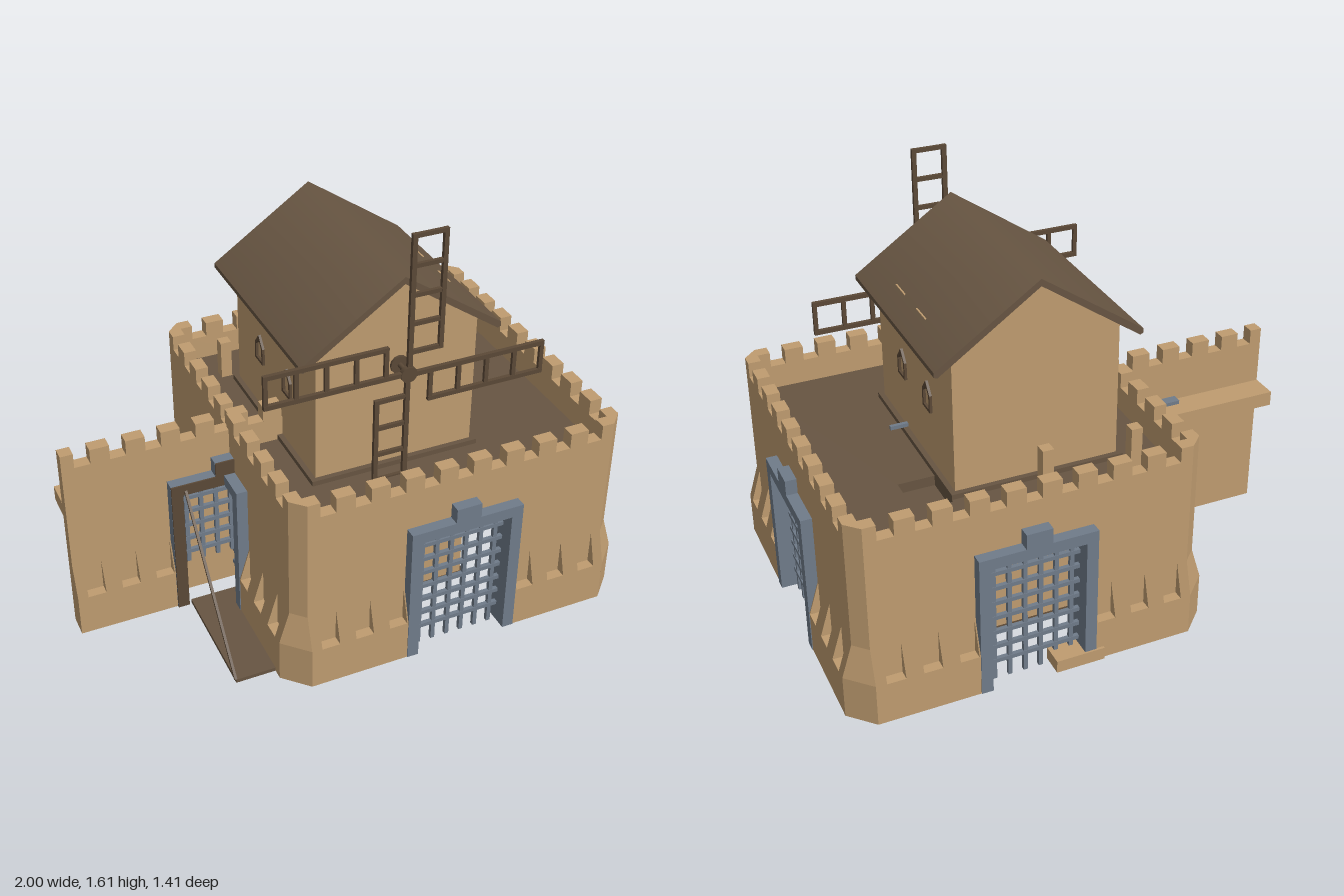
import * as THREE from 'three';
import { ConvexGeometry } from 'three/addons/geometries/ConvexGeometry.js';

const mat = (name, color) => {
  const m = new THREE.MeshStandardMaterial({ color });
  m.name = name;
  return m;
};

export function createModel() {
  const sand = mat('sandstone', 0xbf9c70);
  const brown = mat('roof brown', 0x675542);
  const dark = mat('dark timber', 0x5b4937);
  const steel = mat('blue grey', 0x707c8a);
  const root = new THREE.Group();
  root.name = 'windmillFort';

  const add = (parent, name, geo, m) => {
    const mesh = new THREE.Mesh(geo, m);
    mesh.name = name;
    parent.add(mesh);
    return mesh;
  };
  // Box given by its limits on each axis
  const box = (parent, name, m, x0, x1, y0, y1, z0, z1) => {
    const b = add(parent, name, new THREE.BoxGeometry(x1 - x0, y1 - y0, z1 - z0), m);
    b.position.set((x0 + x1) / 2, (y0 + y1) / 2, (z0 + z1) / 2);
    return b;
  };
  const poly = pts => new THREE.Shape(pts.map(p => new THREE.Vector2(...p)));
  const slab = (pts, z0, z1, hole) => {
    const s = poly(pts);
    if (hole) s.holes.push(poly(hole));
    return new THREE.ExtrudeGeometry(s, { depth: z1 - z0, bevelEnabled: false }).translate(0, 0, z0);
  };
  // Smooth shading: bend the normals of sloping faces where the test holds
  const softenSlopes = (geo, test, nx, ny) => {
    const p = geo.attributes.position, n = geo.attributes.normal;
    for (let i = 0; i < n.count; i++) {
      if (n.getY(i) > 0.05 && n.getY(i) < 0.95 && test(p.getX(i), p.getY(i))) n.setXYZ(i, nx, ny, 0);
    }
    return geo;
  };
  // Straight bar between two points
  const bar = (parent, name, m, a, b, t) => {
    const p = new THREE.Vector3(...a), q = new THREE.Vector3(...b);
    const mesh = add(parent, name, new THREE.BoxGeometry(t, p.distanceTo(q), t), m);
    mesh.position.copy(p).lerp(q, 0.5);
    mesh.quaternion.setFromUnitVectors(new THREE.Vector3(0, 1, 0), q.sub(p).normalize());
  };

  // Gate frame outline with raised keystone
  const framePts = [[-0.225, 0], [-0.18, 0], [-0.18, 0.53], [0.18, 0.53], [0.18, 0], [0.225, 0],
    [0.225, 0.575], [0.05, 0.575], [0.05, 0.635], [-0.05, 0.635], [-0.05, 0.575], [-0.225, 0.575]];

  // One crenellated wall with battered base, gate frame and portcullis
  const wallPts = [[-0.61, 0], [-0.2, 0], [-0.2, 0.55], [0.2, 0.55], [0.2, 0], [0.61, 0], [0.61, 0.797]];
  for (let k = 4; k >= -4; k--) {
    const c = k * 0.133;
    wallPts.push([c + 0.03, 0.797], [c + 0.03, 0.737], [c - 0.03, 0.737], [c - 0.03, 0.797]);
  }
  wallPts.push([-0.61, 0.797]);
  const wallGeo = slab(wallPts, 0.61, 0.66);
  const frameGeo = slab(framePts, 0.57, 0.703);
  const cuts = [0.225, 0.23, 0.3, 0.365, 0.435, 0.5, 0.57, 0.61];
  const solidProfile = [[0.66, 0], [0.7, 0], [0.7, 0.17], [0.66, 0.3]];
  const notchProfile = [[0.66, 0], [0.7, 0], [0.7, 0.167], [0.66, 0.167]];

  function makeWall(name, gateBottom) {
    const g = new THREE.Group();
    g.name = name;
    add(g, 'wallPanel', wallGeo, sand);
    for (const side of [-1, 1]) {
      for (let i = 0; i < cuts.length - 1; i++) {
        const a = cuts[i], b = cuts[i + 1];
        const geo = softenSlopes(slab(i % 2 ? notchProfile : solidProfile, 0, b - a), () => true, 1, 0);
        add(g, 'wallBase', geo.rotateY(-Math.PI / 2), sand).position.x = side > 0 ? b : -a;
      }
    }
    add(g, 'gateFrame', frameGeo, steel);
    for (let i = 0; i < 6; i++) {
      const u = (i - 2.5) * 0.06;
      box(g, 'gateBarUpright', steel, u - 0.008, u + 0.008, gateBottom, 0.54, 0.63, 0.646);
    }
    for (let y = 0.08; y < 0.53; y += 0.064) {
      if (y > gateBottom) box(g, 'gateBarCross', steel, -0.19, 0.19, y - 0.008, y + 0.008, 0.632, 0.648);
    }
    return g;
  }

  // Four walls and chamfered corners
  const fort = new THREE.Group();
  fort.name = 'fort';
  fort.position.x = 0.295;
  root.add(fort);
  const cornerPart = (y0, w0, y1, w1) => {
    const pts = [];
    for (const [y, w] of [[y0, w0], [y1, w1]]) {
      for (const [dx, dz] of [[0, 0], [w, 0], [0, w]]) pts.push(new THREE.Vector3(0.61 + dx, y, 0.61 + dz));
    }
    return new ConvexGeometry(pts);
  };
  const cornerGeos = [cornerPart(0, 0.09, 0.17, 0.09), cornerPart(0.17, 0.09, 0.3, 0.05), cornerPart(0.3, 0.05, 0.797, 0.05)];
  ['frontWall', 'leftWall', 'backWall', 'rightWall'].forEach((name, k) => {
    const w = makeWall(name, 0);
    cornerGeos.forEach(geo => add(w, 'corner', geo, sand));
    w.rotation.y = k * Math.PI / 2;
    fort.add(w);
  });
  box(root, 'backStep', sand, 0.04, 0.23, 0, 0.05, -0.71, -0.62);

  // Roof deck with a sunken hatch; the shape is drawn in x and -z
  const deck = slab([[-0.33, -0.62], [0.92, -0.62], [0.92, 0.62], [-0.33, 0.62]], 0.6, 0.64,
    [[0.5, 0.24], [0.5, 0.42], [0.64, 0.42], [0.64, 0.24]]);
  add(root, 'deck', deck.rotateX(-Math.PI / 2), brown);
  box(root, 'hatchFloor', brown, 0.48, 0.66, 0.585, 0.6, -0.44, -0.22);
  box(root, 'deckLever', steel, 0.47, 0.55, 0.66, 0.675, 0.085, 0.1);
  for (const x of [-0.187, 0.162]) box(root, 'deckPost', sand, x - 0.022, x + 0.022, 0.62, 0.797, -0.48, -0.436);

  // Side wall with walkway and lowered drawbridge
  const annex = new THREE.Group();
  annex.name = 'sideWall';
  annex.position.x = -0.39;
  root.add(annex);
  const annexWall = makeWall('gateWall', 0.16);
  annexWall.position.z = -0.61;
  annex.add(annexWall);
  box(annex, 'gateBackPanel', sand, -0.19, 0.19, 0.003, 0.54, 0.003, 0.011);
  box(annex, 'walkway', sand, -0.61, 0.24, 0.5, 0.56, -0.11, 0);
  add(annex, 'timberFrame', slab(framePts, 0.094, 0.1), dark);
  box(annex, 'drawbridge', brown, -0.17, 0.17, 0, 0.015, 0.09, 0.57);
  for (const x of [-0.17, 0.17]) bar(annex, 'drawbridgeRope', dark, [x, 0.55, 0.1], [x, 0.012, 0.565], 0.01);

  // Mill house
  const house = new THREE.Group();
  house.name = 'millHouse';
  house.position.x = 0.165;
  root.add(house);
  add(house, 'houseBody', slab([[-0.315, 0.005], [0.315, 0.005], [0.315, 1.19], [0, 1.41], [-0.315, 1.19]], -0.39, 0.355), sand);
  const roofGeo = slab([[-0.39, 1.15], [-0.378, 1.145], [0, 1.408], [0.378, 1.145], [0.39, 1.15],
    [0.39, 1.168], [0, 1.435], [-0.39, 1.168]], -0.425, 0.395);
  add(house, 'houseRoof', softenSlopes(roofGeo, (x, y) => Math.abs(x) < 0.01 && y > 1.42, 0, 1), brown);
  box(house, 'houseFloor', dark, -0.33, 0.33, 0, 0.01, -0.4, 0.37);
  box(house, 'housePlinth', brown, -0.335, 0.335, 0.63, 0.66, -0.41, 0.375);
  // Slots showing on the roof slope
  for (const z of [-0.105, 0.105]) box(house, 'roofSlot', sand, 0.305, 0.315, 1.2185, 1.2235, z - 0.045, z + 0.045);

  // Pointed window frames on both sides, upper and lower storeys
  const windowGeo = slab([[-0.037, 0], [0.037, 0], [0.037, 0.07], [0, 0.115], [-0.037, 0.07]], 0, 0.012,
    [[-0.026, 0.011], [-0.026, 0.066], [0, 0.098], [0.026, 0.066], [0.026, 0.011]]);
  for (const side of [-1, 1]) for (const z of [0.108, -0.152]) for (const y of [0.868, 0.24]) {
    const w = add(house, 'windowFrame', windowGeo, dark);
    w.position.set(side * 0.313, y, z);
    w.rotation.y = side * Math.PI / 2;
  }

  // Windmill sails and hub
  const mill = new THREE.Group();
  mill.name = 'windmill';
  mill.position.set(0.172, 1.065, 0);
  root.add(mill);
  const z0 = 0.421, z1 = 0.436;
  for (let k = 0; k < 4; k++) {
    const sail = new THREE.Group();
    sail.name = 'sail';
    sail.rotation.z = k * Math.PI / 2;
    mill.add(sail);
    box(sail, 'sailStock', dark, -0.006, 0.012, 0, 0.548, z0, z1);
    box(sail, 'sailRail', dark, 0.113, 0.13, 0.08, 0.548, z0, z1);
    for (let i = 0; i < 5; i++) {
      const y = 0.088 + i * 0.113;
      box(sail, 'sailRung', dark, 0, 0.13, y - 0.008, y + 0.008, z0 + 0.001, z1 - 0.001);
    }
  }
  const disc = (name, r, a, b) => {
    const d = add(mill, name, new THREE.CylinderGeometry(r, r, b - a, 12), dark);
    d.rotation.x = Math.PI / 2;
    d.position.z = (a + b) / 2;
  };
  disc('axle', 0.01, 0.35, 0.43);
  disc('hub', 0.032, 0.42, 0.438);
  disc('axlePlate', 0.036, 0.35, 0.365);

  return root;
}
